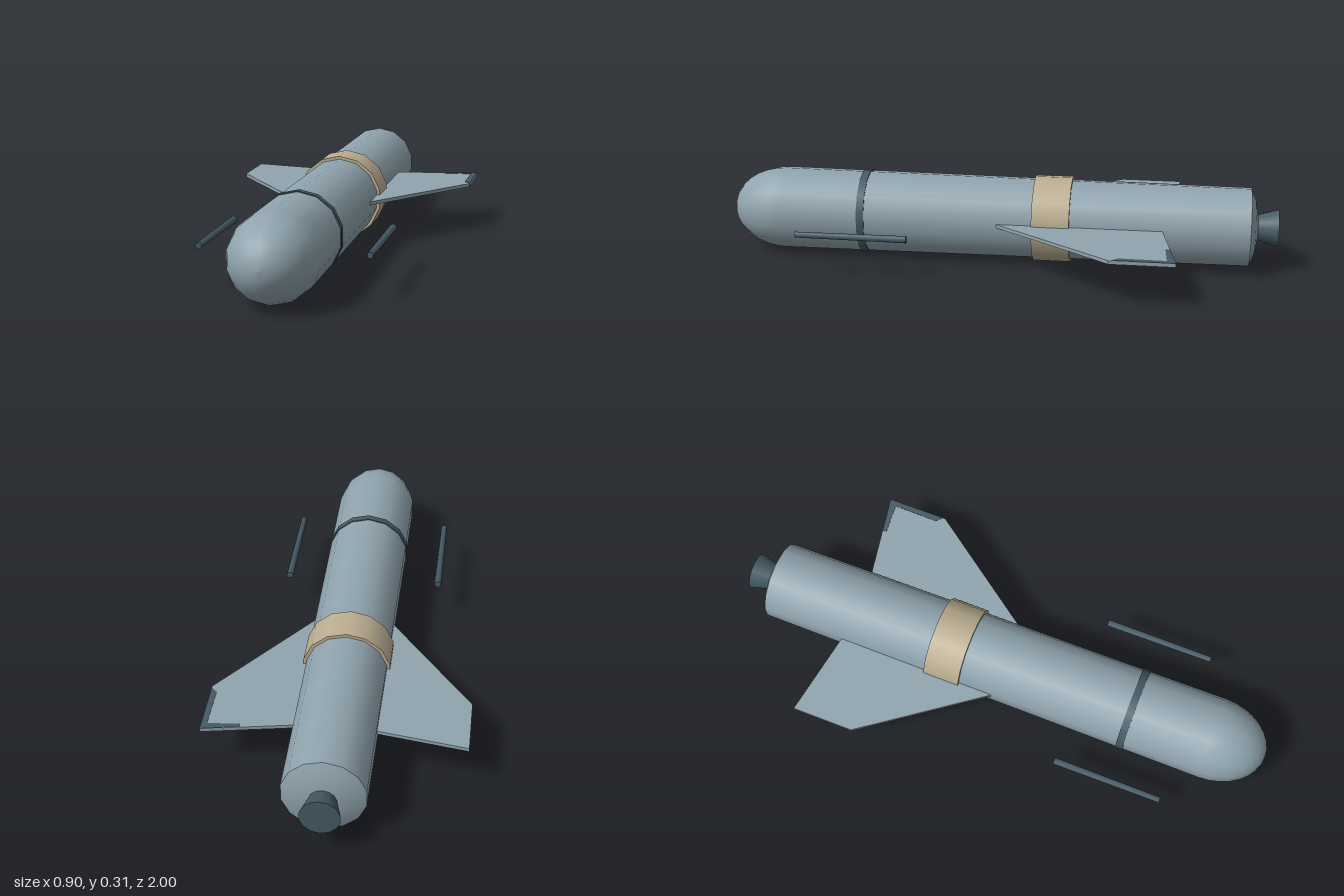
import * as THREE from 'three';

const SIDES = 14;
const AXIS_Y = 0.159;

export function createModel() {
  const model = new THREE.Group();
  model.name = 'model';

  const paint = (name, color, side = THREE.FrontSide) => {
    const m = new THREE.MeshStandardMaterial({ color, side });
    m.name = name;
    return m;
  };
  const blueGrey = paint('blue grey', 0x90a4ae);
  const slate = paint('dark slate', 0x455a64);
  const sand = paint('sand', 0xbcae92);

  const add = (name, geometry, material, x = 0, y = AXIS_Y) => {
    const mesh = new THREE.Mesh(geometry, material);
    mesh.name = name;
    mesh.position.set(x, y, 0);
    model.add(mesh);
    return mesh;
  };

  // Round parts lie along z; profiles run from back to front as [radius, z]
  const turned = (profile) =>
    new THREE.LatheGeometry(profile.map(([r, z]) => new THREE.Vector2(r, z)), SIDES).rotateX(Math.PI / 2);
  const rod = (rFront, rBack, zBack, zFront, sides = SIDES) =>
    new THREE.CylinderGeometry(rFront, rBack, zFront - zBack, sides)
      .rotateX(Math.PI / 2)
      .translate(0, 0, (zFront + zBack) / 2);

  // Body tapering slightly to the back, with a rounded nose
  const hull = [[0.142, -0.9], [0.151, 0.8]];
  for (let i = 1; i <= 8; i++) {
    const a = (i / 8) * Math.PI / 2;
    hull.push([Math.max(0, 0.151 * Math.cos(a)), 0.8 + 0.2 * Math.sin(a)]);
  }
  add('body', turned(hull), blueGrey);

  // Shallow domed tail cap and flared nozzle
  add('tailCap', turned([[0, -0.93], [0.05, -0.927], [0.1, -0.917], [0.142, -0.9]]), blueGrey);
  add('nozzle', rod(0.045, 0.068, -1, -0.92), slate);

  // Bands around the body
  add('frontRing', rod(0.153, 0.153, 0.485, 0.512), slate);
  add('middleBand', rod(0.157, 0.157, -0.26, -0.125), sand);

  // Flat plate in the x/z plane, with its top at the given height
  const plate = (points, thickness) =>
    new THREE.ExtrudeGeometry(
      new THREE.Shape(points.map(([x, z]) => new THREE.Vector2(x, z))),
      { depth: thickness, bevelEnabled: false }
    ).rotateX(Math.PI / 2);

  for (const side of [1, -1]) {
    const label = side > 0 ? 'left' : 'right';
    // Swept wing
    const outline = [[0.1, 0.06], [0.45, -0.42], [0.45, -0.645], [0.1, -0.585]];
    add(label + 'Wing', plate(outline.map(([x, z]) => [x * side, z]), 0.013), blueGrey, 0, 0.175);
    // Slim rod beside the nose
    add(label + 'Rod', rod(0.011, 0.0135, 0.3, 0.7, 8), slate, 0.285 * side, 0.154);
  }

  // Dark trim at the left wing tip
  add('wingTipTrim',
    plate([[0.45, -0.43], [0.45, -0.645], [0.32, -0.622], [0.32, -0.607], [0.43, -0.615], [0.428, -0.45]], 0.002),
    slate, 0, 0.1765);

  return model;
}
